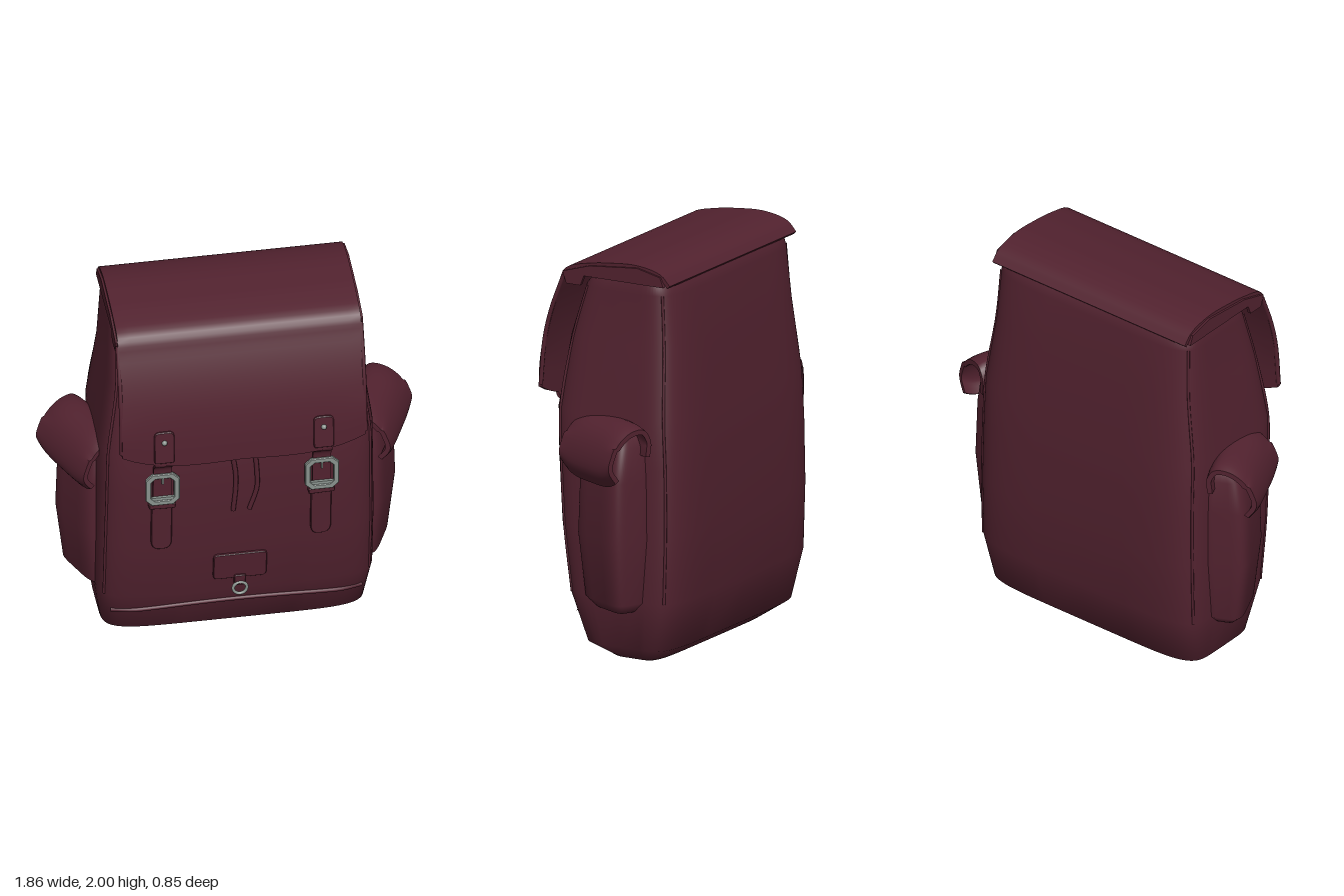
import * as THREE from 'three';
import { toCreasedNormals } from 'three/addons/utils/BufferGeometryUtils.js';

const leather = new THREE.MeshStandardMaterial({ color: 0x52222f });
leather.name = 'maroon leather';
const metal = new THREE.MeshStandardMaterial({ color: 0x88918c });
metal.name = 'grey metal';

// Body cross-sections: height, half width, front z, back z
const BODY = [
  [0, 0.54, 0.05, -0.22], [0.08, 0.65, 0.17, -0.34], [0.33, 0.685, 0.26, -0.4],
  [0.67, 0.685, 0.31, -0.415], [1.0, 0.68, 0.332, -0.412], [1.24, 0.675, 0.338, -0.4],
  [1.6, 0.625, 0.285, -0.365], [1.86, 0.61, 0.2, -0.335], [1.93, 0.6, 0.14, -0.31], [1.965, 0.58, 0.02, -0.26],
];
const POWER = 6;

// Point on the body's front (side 1) or back (side -1) wall
function wallZ(x, y, side = 1) {
  let i = 0;
  while (i < BODY.length - 2 && BODY[i + 1][0] < y) i++;
  const k = (y - BODY[i][0]) / (BODY[i + 1][0] - BODY[i][0]);
  const [, w, f, b] = BODY[i].map((v, j) => v + (BODY[i + 1][j] - v) * k);
  const drop = Math.pow(Math.max(0, 1 - Math.pow(Math.abs(x) / w, POWER)), 1 / POWER);
  return (f + b) / 2 + side * (f - b) / 2 * drop;
}

// Closed loft through superellipse rings [y, x0, x1, z0, z1]
function loft(rings, power, n = 72) {
  const pos = [], idx = [];
  const bend = (v) => Math.sign(v) * Math.pow(Math.abs(v), 2 / power);
  for (const [y, x0, x1, z0, z1] of rings)
    for (let i = 0; i < n; i++) {
      const t = (i / n) * Math.PI * 2;
      pos.push((x0 + x1) / 2 + (x1 - x0) / 2 * bend(Math.cos(t)), y, (z0 + z1) / 2 + (z1 - z0) / 2 * bend(Math.sin(t)));
    }
  for (let r = 0; r < rings.length - 1; r++)
    for (let i = 0; i < n; i++) {
      const a = r * n + i, c = r * n + (i + 1) % n;
      idx.push(a, a + n, c, a + n, c + n, c);
    }
  const last = rings.length - 1, base = pos.length / 3;
  for (const r of [0, last]) pos.push((rings[r][1] + rings[r][2]) / 2, rings[r][0], (rings[r][3] + rings[r][4]) / 2);
  for (let i = 0; i < n; i++) {
    const j = (i + 1) % n;
    idx.push(base, i, j, base + 1, last * n + j, last * n + i);
  }
  const g = new THREE.BufferGeometry();
  g.setAttribute('position', new THREE.Float32BufferAttribute(pos, 3));
  g.setIndex(idx);
  g.computeVertexNormals();
  return g;
}

// Thick curved sheet: a side profile swept over a width, then moved by a rule
function sheet(points, thick, width, rule, samples = 28) {
  const curve = new THREE.CatmullRomCurve3(points.map(([a, b]) => new THREE.Vector3(a, b, 0)), false, 'centripetal');
  const outer = [], inner = [];
  for (let i = 0; i <= samples; i++) {
    const p = curve.getPoint(i / samples), t = curve.getTangent(i / samples);
    outer.push(new THREE.Vector2(p.x, p.y));
    inner.unshift(new THREE.Vector2(p.x + t.y * thick, p.y - t.x * thick));
  }
  const g = new THREE.ExtrudeGeometry(new THREE.Shape([...outer, ...inner]), { depth: width, steps: 20, bevelEnabled: false });
  g.translate(0, 0, -width / 2);
  if (rule) moveVertices(g, rule);
  return toCreasedNormals(g, 0.7);
}

function moveVertices(g, rule) {
  const p = g.attributes.position, v = new THREE.Vector3();
  for (let i = 0; i < p.count; i++) {
    rule(v.fromBufferAttribute(p, i));
    p.setXYZ(i, v.x, v.y, v.z);
  }
}

// Rounded strip outline; r is the bottom corner radius, q the top one
function strip(w, y0, y1, r, q) {
  const s = new THREE.Shape();
  s.moveTo(-w + r, y0);
  s.lineTo(w - r, y0);
  s.quadraticCurveTo(w, y0, w, y0 + r * 1.3);
  s.lineTo(w, y1 - q);
  s.quadraticCurveTo(w, y1, w - q, y1);
  s.lineTo(-w + q, y1);
  s.quadraticCurveTo(-w, y1, -w, y1 - q);
  s.lineTo(-w, y0 + r * 1.3);
  s.quadraticCurveTo(-w, y0, -w + r, y0);
  return s;
}

// Thin plate lying on the front wall, or on a given z
function plate(shape, x, depth, zAt) {
  const g = new THREE.ExtrudeGeometry(shape, { depth, bevelEnabled: true, bevelSize: 0.004, bevelThickness: 0.004, bevelSegments: 1 });
  moveVertices(g, (v) => { v.x += x; v.z += zAt ? zAt(v.y) : wallZ(v.x, v.y); });
  return toCreasedNormals(g, 0.5);
}

function tube(points, r) {
  const path = new THREE.CatmullRomCurve3(points.map((p) => new THREE.Vector3(...p)));
  return new THREE.TubeGeometry(path, 40, r, 8);
}

function octagon(w, h, c, T) {
  return new T([[-w + c, -h], [w - c, -h], [w, -h + c], [w, h - c], [w - c, h], [-w + c, h], [-w, h - c], [-w, -h + c]]
    .map(([x, y]) => new THREE.Vector2(x, y)));
}

export function createModel() {
  const model = new THREE.Group();
  const add = (name, geo, mat = leather, parent = model) => {
    const m = new THREE.Mesh(geo, mat);
    m.name = name;
    parent.add(m);
    return m;
  };

  // Main bag
  add('body', loft(BODY.map(([y, w, f, b]) => [y, -w, w, b, f]), POWER, 96));

  // Lid with a bowed lower edge
  const lidProfile = [[-0.33, 1.92], [-0.28, 1.97], [-0.15, 2.0], [0, 1.993], [0.13, 1.975], [0.26, 1.935],
    [0.3, 1.85], [0.35, 1.71], [0.387, 1.56], [0.407, 1.4], [0.412, 1.24]];
  const lid = sheet(lidProfile, 0.02, 1.2, (v) => {
    const k = Math.abs(v.z) / 0.6, low = Math.max(0, Math.min(1, (1.55 - v.y) / 0.3));
    v.y += low * (0.075 * k ** 4 - 0.01 * Math.sin(Math.PI * k));
  }, 40);
  lid.rotateY(-Math.PI / 2);
  add('lid', lid);

  // Lid side hems
  const hem = new THREE.Shape([[-0.3, 1.91], [0.15, 1.91], [0.17, 1.86], [0.25, 1.86], [0.27, 1.92], [0.12, 1.965], [-0.15, 1.99], [-0.28, 1.96]]
    .map(([a, b]) => new THREE.Vector2(a, b)));
  for (const s of [-1, 1]) {
    const g = new THREE.ExtrudeGeometry(hem, { depth: 0.018, bevelEnabled: false });
    g.rotateY(-Math.PI / 2);
    g.translate(s * 0.602 + 0.009, 0, 0);
    add('lidSideHem', g);
    add('lidEdgeBinding', tube([[s * 0.6, 1.9, 0.27], [s * 0.6, 1.71, 0.342], [s * 0.6, 1.56, 0.378], [s * 0.6, 1.33, 0.4]], 0.011));

    // Piping along the body's vertical edges
    for (const side of [1, -1]) {
      const pts = BODY.slice(2, 8).map(([y, w]) => [s * w * 0.955, y, wallZ(w * 0.955, y, side)]);
      add('edgePiping', tube(pts, 0.007));
    }
  }

  // Bottom seam
  const seam = [];
  for (let i = -6; i <= 6; i++) {
    const x = i * 0.103, y = 0.25 - 0.035 * (x / 0.62) ** 2;
    seam.push([x, y, wallZ(x, y) + 0.003]);
  }
  add('bottomSeam', tube(seam, 0.011));

  // Closing straps and buckles
  for (const x of [-0.393, 0.393]) {
    const strap = new THREE.Group();
    strap.name = 'closingStrap';
    model.add(strap);
    add('strapTab', plate(strip(0.046, 1.27, 1.445, 0.01, 0.025), x, 0.012, (y) => 0.407 - (y - 1.27) * 0.05), leather, strap);
    const stud = add('stud', new THREE.SphereGeometry(0.014, 12, 8), metal, strap);
    stud.position.set(x, 1.39, 0.418);
    const link = sheet([[0.415, 1.28], [0.405, 1.235], [0.37, 1.2], [0.358, 1.14], [0.35, 0.96]], 0.015, 0.09);
    link.rotateY(-Math.PI / 2);
    link.translate(x, 0, 0);
    add('strapLink', link, leather, strap);
    add('strapTail', plate(strip(0.047, 0.67, 1.0, 0.04, 0.005), x, 0.012), leather, strap);
    add('strapKeeper', plate(strip(0.062, 0.94, 0.965, 0.006, 0.006), x, 0.026), leather, strap);

    const frame = octagon(0.08, 0.09, 0.03, THREE.Shape);
    frame.holes.push(octagon(0.06, 0.07, 0.022, THREE.Path));
    const ring = new THREE.ExtrudeGeometry(frame, { depth: 0.012, bevelSize: 0.004, bevelThickness: 0.004, bevelSegments: 1 });
    add('buckleFrame', ring, metal, strap).position.set(x, 1.065, 0.354);
    add('buckleBar', new THREE.BoxGeometry(0.14, 0.016, 0.014), metal, strap).position.set(x, 1.01, 0.362);
    add('bucklePin', new THREE.BoxGeometry(0.009, 0.055, 0.01), metal, strap).position.set(x, 1.125, 0.364);
  }

  // Draw cords
  for (const [a, b, c] of [[-0.055, -0.03, -0.04], [0.06, 0.075, 0.04]])
    add('drawCord', tube([[a, 1.27, 0.35], [b, 1.1, 0.345], [b, 1.0, 0.34], [c, 0.87, 0.332]], 0.012));

  // Small front patch with a ring
  add('patch', plate(strip(0.128, 0.418, 0.575, 0.02, 0.02), 0, 0.01));
  add('patchLoop', plate(strip(0.025, 0.375, 0.435, 0.008, 0.005), 0, 0.022));
  add('patchRing', new THREE.TorusGeometry(0.034, 0.008, 8, 20), metal).position.set(0, 0.358, 0.294);

  // Side pockets, turned to face slightly forward
  for (const s of [-1, 1]) {
    const pocket = new THREE.Group();
    pocket.name = s > 0 ? 'leftPocket' : 'rightPocket';
    pocket.position.set(s * 0.616, 0, -0.088);
    pocket.rotation.y = s > 0 ? -0.42 : Math.PI + 0.42;
    model.add(pocket);
    const rings = [[0.28, 0.0, 0.11, 0.11], [0.33, -0.04, 0.155, 0.155], [0.65, -0.06, 0.19, 0.178],
      [0.95, -0.06, 0.182, 0.17], [1.12, -0.04, 0.15, 0.16], [1.19, 0, 0.08, 0.11]];
    add('pocketBody', loft(rings.map(([y, a, b, d]) => [y, a, b, -d, d]), 4.5), leather, pocket);
    const cover = sheet([[0, 1.08], [-0.005, 1.18], [0.035, 1.238], [0.11, 1.238], [0.185, 1.19], [0.235, 1.1], [0.245, 1.0], [0.205, 0.937]],
      0.025, 0.42, (v) => {
        const k = (v.z / 0.21) ** 4, low = Math.max(0, Math.min(1, (1.1 - v.y) / 0.1));
        if (v.x > 0.1) v.y += 0.035 * k * low;
        if (v.y > 1.15) v.y -= 0.02 * k;
      });
    add('pocketFlap', cover, leather, pocket);
  }

  return model;
}
